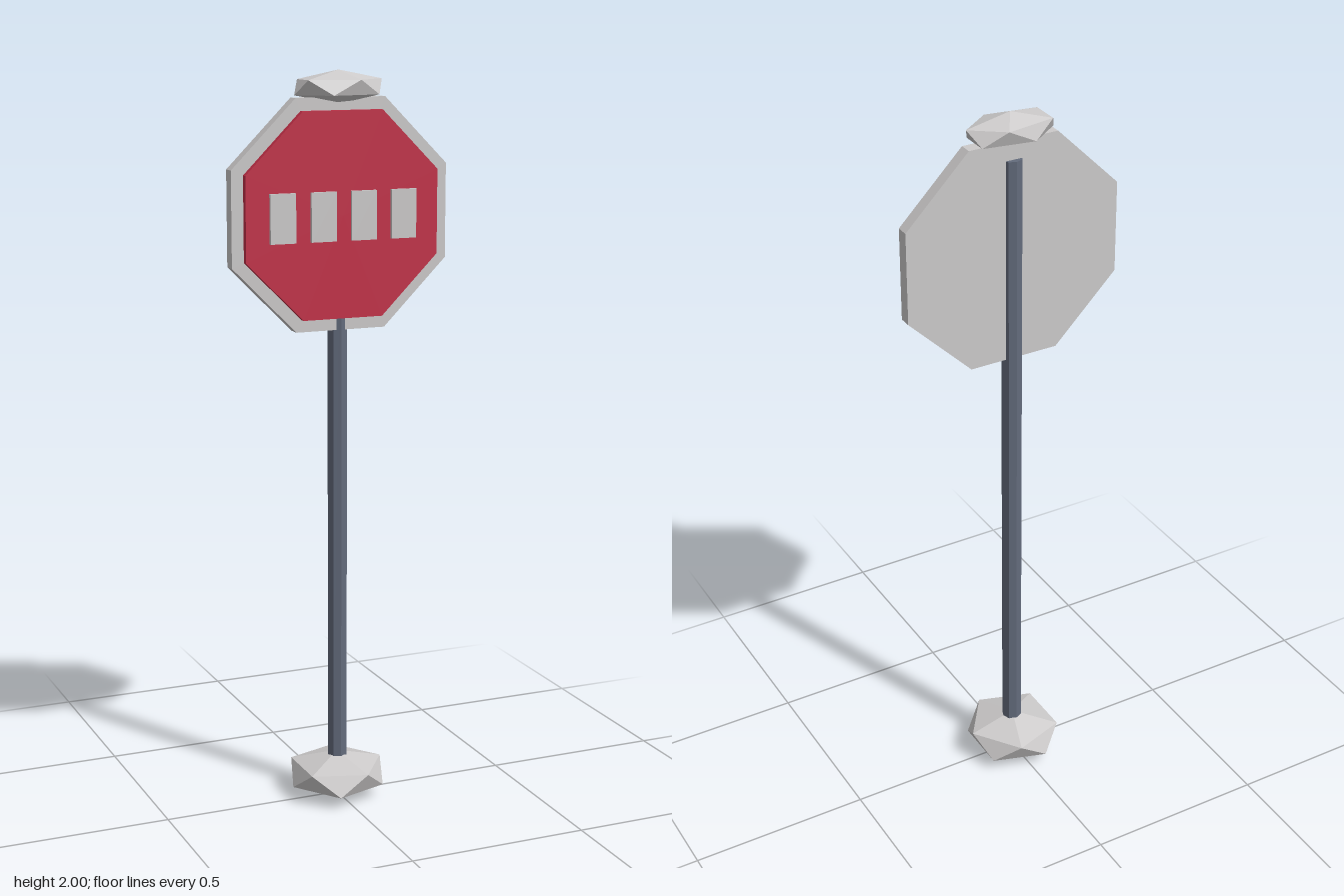
import * as THREE from 'three';

const flat = (name, color) => {
  const m = new THREE.MeshStandardMaterial({ color, flatShading: true });
  m.name = name;
  return m;
};

export function createModel() {
  const group = new THREE.Group();
  const red = flat('signRed', 0xc22f47);
  const grey = flat('paleGrey', 0xcccaca);
  const steel = flat('poleSteel', 0x636b7c);

  const add = (name, geometry, material, x, y, z) => {
    const mesh = new THREE.Mesh(geometry, material);
    mesh.name = name;
    mesh.position.set(x, y, z);
    group.add(mesh);
  };

  // Octagonal plate with flat top and sides, standing in the xy plane
  const octagon = (apothem, depth) =>
    new THREE.CylinderGeometry(apothem / Math.cos(Math.PI / 8), apothem / Math.cos(Math.PI / 8), depth, 8)
      .rotateY(Math.PI / 8)
      .rotateX(Math.PI / 2);

  // Squashed icosahedron with one corner pointing straight up
  const lump = (rx, ry, rz) =>
    new THREE.IcosahedronGeometry(1, 0)
      .rotateZ(-Math.atan(2 / (1 + Math.sqrt(5))))
      .scale(rx, ry, rz);

  // Post and the stone it stands in
  add('pole', new THREE.CylinderGeometry(0.028, 0.028, 1.84, 8), steel, 0, 0.96, 0);
  add('baseLump', lump(0.147, 0.0625, 0.149), grey, -0.001, 0.0625, -0.001);

  // Sign board: pale border plate with the red face in front
  add('borderPlate', octagon(0.305, 0.035), grey, 0, 1.625, 0.0055);
  add('redFace', octagon(0.272, 0.022), red, 0, 1.625, 0.029);

  // Four pale blocks across the face
  for (let i = 0; i < 4; i++) {
    add('faceBlock' + (i + 1), new THREE.BoxGeometry(0.071, 0.13, 0.013), grey, (i - 1.5) * 0.1143, 1.624, 0.0425);
  }

  // Lump resting on the top edge
  add('topLump', lump(0.138, 0.044, 0.0745), grey, -0.001, 1.956, 0.009);

  return group;
}
